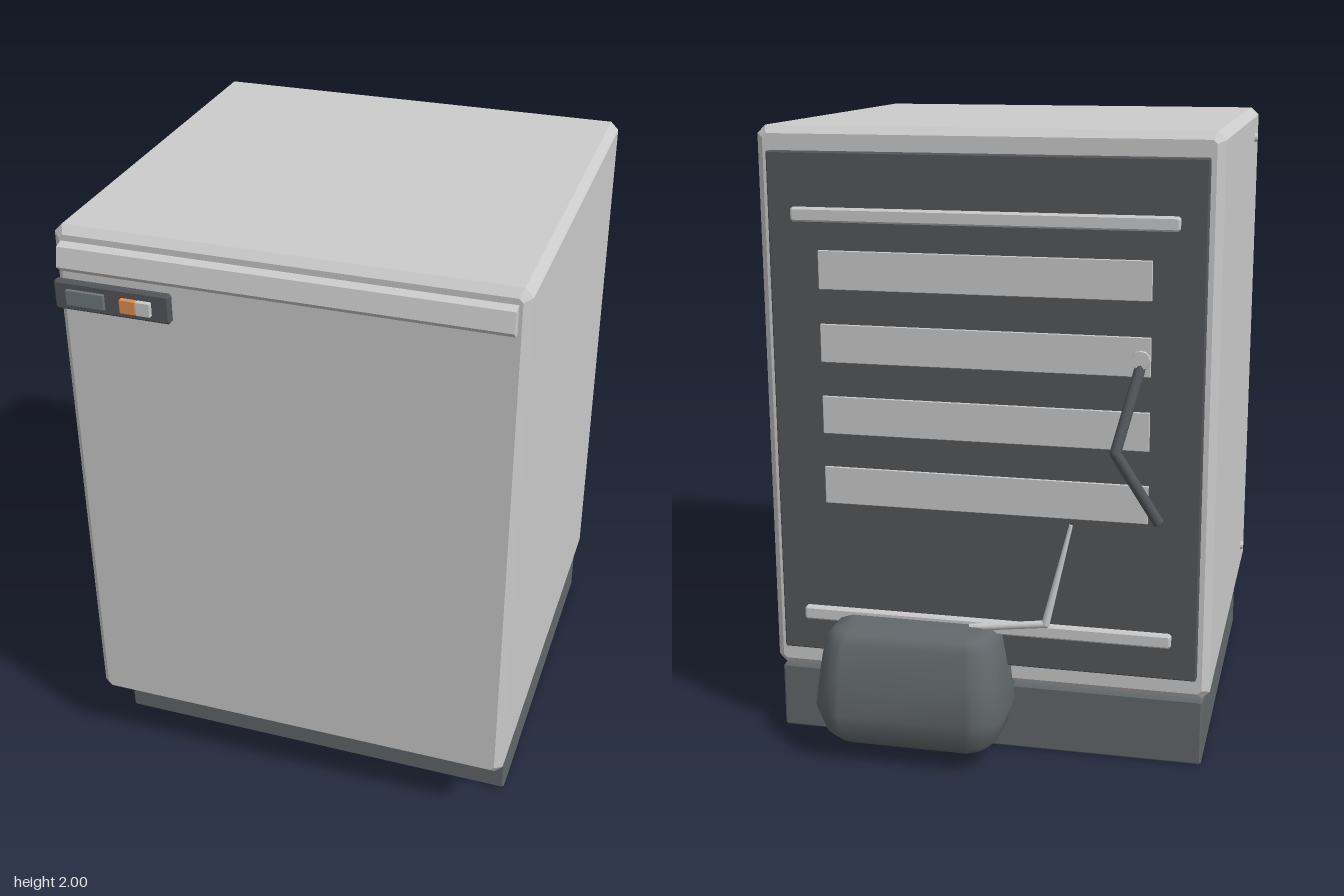
import * as THREE from 'three';

const mat = (color) => new THREE.MeshStandardMaterial({ color });
const grey = mat(0xcccccc);
const light = mat(0xe0dfe2);
const slate = mat(0x62686b);
const dark = mat(0x54575a);
const glass = mat(0x70787c);
const orange = mat(0xe09050);

export function createModel() {
  const model = new THREE.Group();

  const add = (name, geometry, material) => {
    const mesh = new THREE.Mesh(geometry, material);
    mesh.name = name;
    model.add(mesh);
    return mesh;
  };

  // Box with chamfered edges, given by its limits on each axis
  const box = (name, [x0, x1], [y0, y1], [z0, z1], b, material) => {
    const w = (x1 - x0) / 2 - b, h = (y1 - y0) / 2 - b;
    const c = b * 0.5;
    const shape = new THREE.Shape([
      [w - c, -h], [w, -h + c], [w, h - c], [w - c, h],
      [-w + c, h], [-w, h - c], [-w, -h + c], [-w + c, -h],
    ].map(([x, y]) => new THREE.Vector2(x, y)));
    const geometry = new THREE.ExtrudeGeometry(shape, {
      depth: z1 - z0 - 2 * b, bevelSize: b, bevelThickness: b, bevelSegments: 1,
    });
    geometry.translate((x0 + x1) / 2, (y0 + y1) / 2, z0 + b);
    return add(name, geometry, material);
  };

  // Round rod between two points, optionally tapered
  const rod = (name, from, to, r0, r1, material) => {
    const a = new THREE.Vector3(...from), b = new THREE.Vector3(...to);
    const dir = b.clone().sub(a);
    const mesh = add(name, new THREE.CylinderGeometry(r1, r0, dir.length(), 12), material);
    mesh.position.copy(a).add(b).multiplyScalar(0.5);
    mesh.quaternion.setFromUnitVectors(new THREE.Vector3(0, 1, 0), dir.normalize());
    return mesh;
  };

  // Cabinet and recessed plinth
  box('cabinet', [-0.72, 0.725], [0.22, 2], [-0.67, 0.735], 0.024, grey);
  box('plinth', [-0.7, 0.705], [0, 0.22], [-0.67, 0.56], 0.006, slate);

  // Slanted handle strip along the front
  const profile = new THREE.Shape([
    [0.72, 1.868], [0.755, 1.868], [0.78, 1.89], [0.766, 1.95], [0.72, 1.96],
  ].map(([z, y]) => new THREE.Vector2(-z, y)));
  const strip = new THREE.ExtrudeGeometry(profile, { depth: 1.38, bevelEnabled: false });
  strip.rotateY(Math.PI / 2).translate(-0.69, 0, 0);
  add('handleStrip', strip, light);

  // Control panel with display and switches
  box('controlPanel', [-0.635, -0.275], [1.822, 1.912], [0.873, 0.9], 0.006, dark);
  box('display', [-0.59, -0.47], [1.846, 1.895], [0.907, 0.918], 0.002, glass);
  box('orangeSwitch', [-0.42, -0.37], [1.848, 1.892], [0.907, 0.922], 0.002, orange);
  box('whiteSwitch', [-0.37, -0.325], [1.848, 1.892], [0.907, 0.922], 0.002, light);

  // Screw caps on the side
  for (const y of [0.325, 1.9]) {
    rod('sideScrew', [-0.715, y, 0.55], [-0.73, y, 0.55], 0.017, 0.014, grey);
  }

  // Back plate with vent slats and rails
  box('backPlate', [-0.68, 0.68], [0.3, 1.925], [-0.702, -0.665], 0.004, dark);
  for (let i = 0; i < 4; i++) {
    const y = 0.81 + i * 0.231;
    box('ventSlat', [-0.52, 0.52], [y, y + 0.122], [-0.708, -0.695], 0.002, grey);
  }
  for (const y of [0.433, 1.735]) {
    box('backRail', [-0.6, 0.6], [y - 0.022, y + 0.022], [-0.724, -0.695], 0.006, grey);
  }

  // Compressor: rounded rectangles stacked in y as [y, half width, half depth]
  const rings = [
    [0.055, 0.2, 0.09], [0.058, 0.255, 0.13], [0.09, 0.285, 0.162], [0.175, 0.312, 0.19],
    [0.29, 0.298, 0.172], [0.4, 0.28, 0.15], [0.427, 0.255, 0.122], [0.44, 0.215, 0.085],
  ];
  const steps = 32, positions = [], index = [];
  for (const [y, w, d] of rings) {
    for (let i = 0; i < steps; i++) {
      const t = ((i + 0.5) / steps) * Math.PI * 2;
      const c = Math.cos(t), s = Math.sin(t);
      const r = Math.min(w, d) * 0.6;
      positions.push(0.22 + Math.sign(c) * (w - r) + r * c, y, -0.73 + Math.sign(s) * (d - r) + r * s);
    }
  }
  for (let k = 0; k < rings.length - 1; k++) {
    for (let i = 0; i < steps; i++) {
      const a = k * steps + i, b = k * steps + (i + 1) % steps;
      index.push(a, a + steps, b, b, a + steps, b + steps);
    }
  }
  const top = (rings.length - 1) * steps;
  for (let i = 1; i < steps - 1; i++) {
    index.push(0, i, i + 1, top, top + i + 1, top + i);
  }
  const shell = new THREE.BufferGeometry();
  shell.setAttribute('position', new THREE.Float32BufferAttribute(positions, 3));
  shell.setIndex(index);
  shell.computeVertexNormals();
  add('compressor', shell, slate);

  // Bent power cable with its collar
  const cable = [[-0.49, 1.31, -0.7], [-0.432, 1.06, -0.81], [-0.56, 0.835, -0.762]];
  rod('powerCable', cable[0], cable[1], 0.017, 0.017, dark);
  rod('powerCable', cable[1], cable[2], 0.017, 0.017, dark);
  add('cableElbow', new THREE.SphereGeometry(0.017, 12, 8), dark).position.set(...cable[1]);
  rod('cableCollar', [-0.49, 1.325, -0.69], [-0.49, 1.325, -0.718], 0.032, 0.028, grey);

  // Refrigerant pipe running up from the compressor
  const elbow = [-0.205, 0.465, -0.73];
  rod('refrigerantPipe', [0.04, 0.435, -0.735], elbow, 0.012, 0.012, grey);
  rod('refrigerantPipe', elbow, [-0.28, 0.79, -0.705], 0.013, 0.006, grey);
  add('pipeElbow', new THREE.SphereGeometry(0.013, 12, 8), grey).position.set(...elbow);

  return model;
}
